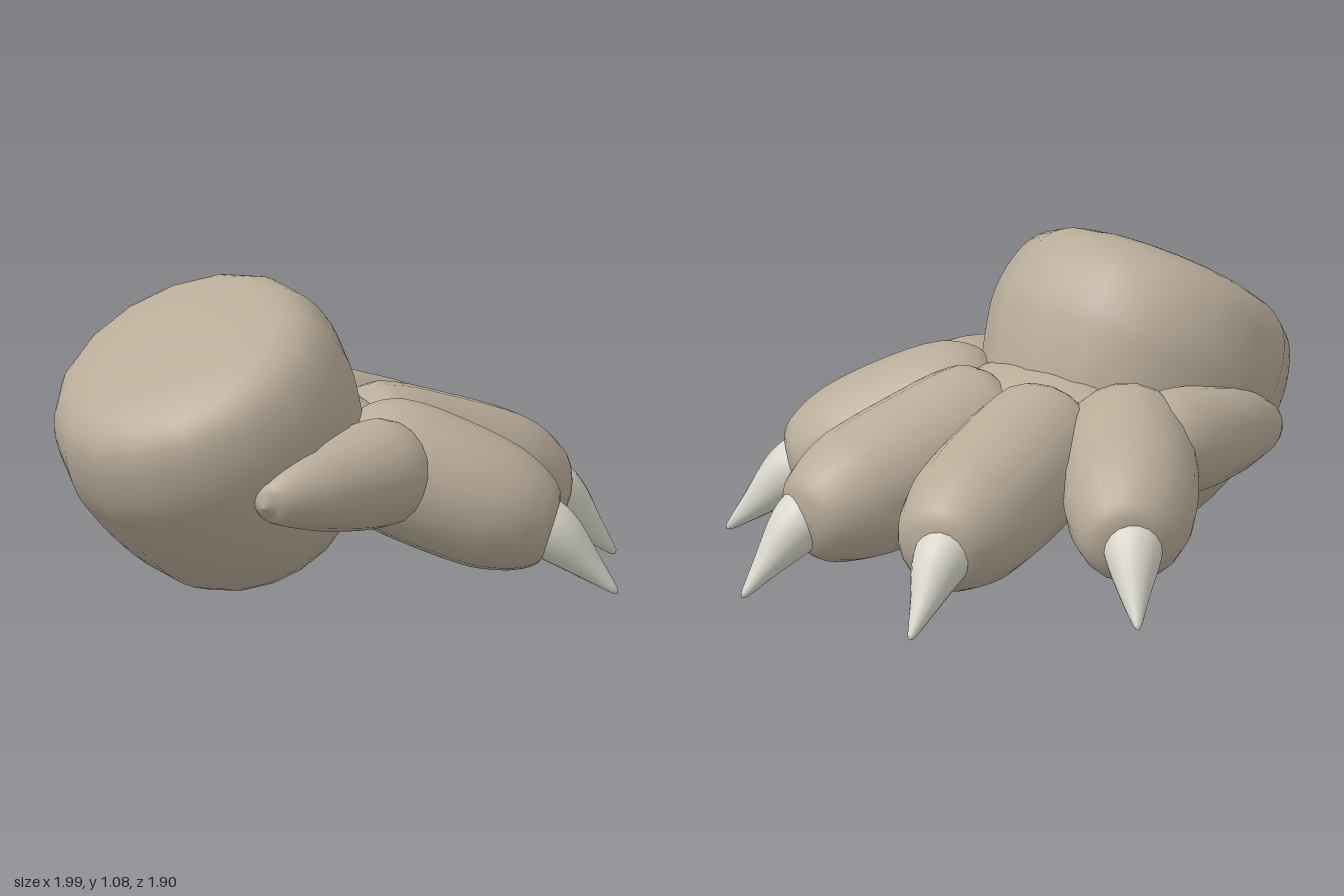
import * as THREE from 'three';

const skin = new THREE.MeshStandardMaterial({ color: 0xb8ab98 });
skin.name = 'tan skin';
const horn = new THREE.MeshStandardMaterial({ color: 0xd8d6ca });
horn.name = 'pale horn';

// Smooth round limb through rows of [x, y, z, radius]
function limb(rows, sides = 18, sub = 4) {
  const path = new THREE.CatmullRomCurve3(rows.map(r => new THREE.Vector3(r[0], r[1], r[2])));
  const radii = new THREE.CatmullRomCurve3(rows.map((r, i) => new THREE.Vector3(r[3], i, 0)), false, 'catmullrom', 0.5);
  const n = (rows.length - 1) * sub;
  const pos = [], index = [];
  const up = new THREE.Vector3(0, 1, 0);
  for (let i = 0; i <= n; i++) {
    const c = path.getPoint(i / n);
    const r = i === 0 || i === n ? rows[i === 0 ? 0 : rows.length - 1][3] : Math.max(0.002, radii.getPoint(i / n).x);
    const t = path.getTangent(i / n);
    const s = t.clone().cross(up).normalize();
    const u = s.clone().cross(t);
    for (let j = 0; j < sides; j++) {
      const a = (j / sides) * Math.PI * 2;
      const p = c.clone().addScaledVector(s, r * Math.cos(a)).addScaledVector(u, r * Math.sin(a));
      pos.push(p.x, p.y, p.z);
      if (i < n) {
        const k = (j + 1) % sides, b = i * sides, d = b + sides;
        index.push(b + j, d + j, b + k, d + j, d + k, b + k);
      }
    }
  }
  const g = new THREE.BufferGeometry();
  g.setAttribute('position', new THREE.Float32BufferAttribute(pos, 3));
  g.setIndex(index);
  g.computeVertexNormals();
  return g;
}

const parts = {
  innerToe: [skin, [
    [-0.01, 0.5, 0.13, 0], [0.02, 0.495, 0.135, 0.13], [0.1, 0.475, 0.15, 0.218], [0.34, 0.385, 0.2, 0.24],
    [0.58, 0.31, 0.255, 0.227], [0.71, 0.27, 0.283, 0.187], [0.79, 0.25, 0.3, 0.13], [0.83, 0.24, 0.31, 0]]],
  innerClaw: [horn, [
    [0.73, 0.275, 0.32, 0.1], [0.8, 0.215, 0.335, 0.094], [0.9, 0.107, 0.365, 0.05],
    [0.988, 0.012, 0.388, 0.012], [0.997, 0.003, 0.39, 0]]],
  outerToe: [skin, [
    [-0.14, 0.51, 0.27, 0], [-0.11, 0.505, 0.3, 0.15], [-0.03, 0.478, 0.375, 0.22], [0.1, 0.405, 0.515, 0.23],
    [0.225, 0.33, 0.64, 0.217], [0.305, 0.285, 0.715, 0.18], [0.355, 0.26, 0.765, 0.125], [0.38, 0.25, 0.79, 0]]],
  outerClaw: [horn, [
    [0.31, 0.295, 0.73, 0.1], [0.365, 0.235, 0.79, 0.094], [0.44, 0.132, 0.87, 0.05],
    [0.496, 0.05, 0.938, 0.012], [0.502, 0.041, 0.945, 0]]],
  sidePad: [skin, [
    [-0.67, 0.435, 0.48, 0], [-0.635, 0.445, 0.47, 0.07], [-0.5, 0.465, 0.47, 0.13], [-0.38, 0.472, 0.475, 0.158],
    [-0.24, 0.475, 0.478, 0.178], [-0.12, 0.478, 0.478, 0.178], [-0.04, 0.48, 0.475, 0.135], [0, 0.48, 0.475, 0]]],
};

export function createModel() {
  const model = new THREE.Group();
  model.name = 'clawedPaw';

  // Rounded ankle, leaning back
  const profile = [[0, 0.185], [0.13, 0.205], [0.27, 0.265], [0.385, 0.385], [0.46, 0.56], [0.5, 0.72], [0.512, 0.82],
    [0.498, 0.93], [0.462, 1.02], [0.4, 1.076], [0.33, 1.102], [0.25, 1.118], [0.13, 1.128], [0, 1.131]];
  const curve = new THREE.SplineCurve(profile.map(p => new THREE.Vector2(p[0], p[1])));
  const ankle = new THREE.Mesh(new THREE.LatheGeometry(curve.getPoints(39), 16), skin);
  ankle.name = 'ankle';
  ankle.rotation.z = 0.549;
  ankle.position.set(-0.068, -0.042, 0.005);
  model.add(ankle);

  // Web joining the ankle to the toe roots
  const web = new THREE.Mesh(new THREE.SphereGeometry(1, 24, 16), skin);
  web.name = 'web';
  web.scale.set(0.28, 0.205, 0.4);
  web.position.set(-0.07, 0.485, 0);
  model.add(web);

  // Toes, claws and pads on both sides; the far outer toe sits slightly back
  for (const side of [1, -1]) {
    for (const [name, [material, rows]] of Object.entries(parts)) {
      const shift = side < 0 && name.startsWith('outer') ? -0.025 : 0;
      const mesh = new THREE.Mesh(
        limb(rows.map(([x, y, z, r]) => [x + shift, y, z * side, r])), material);
      mesh.name = name + (side > 0 ? 'Front' : 'Back');
      model.add(mesh);
    }
  }
  return model;
}
